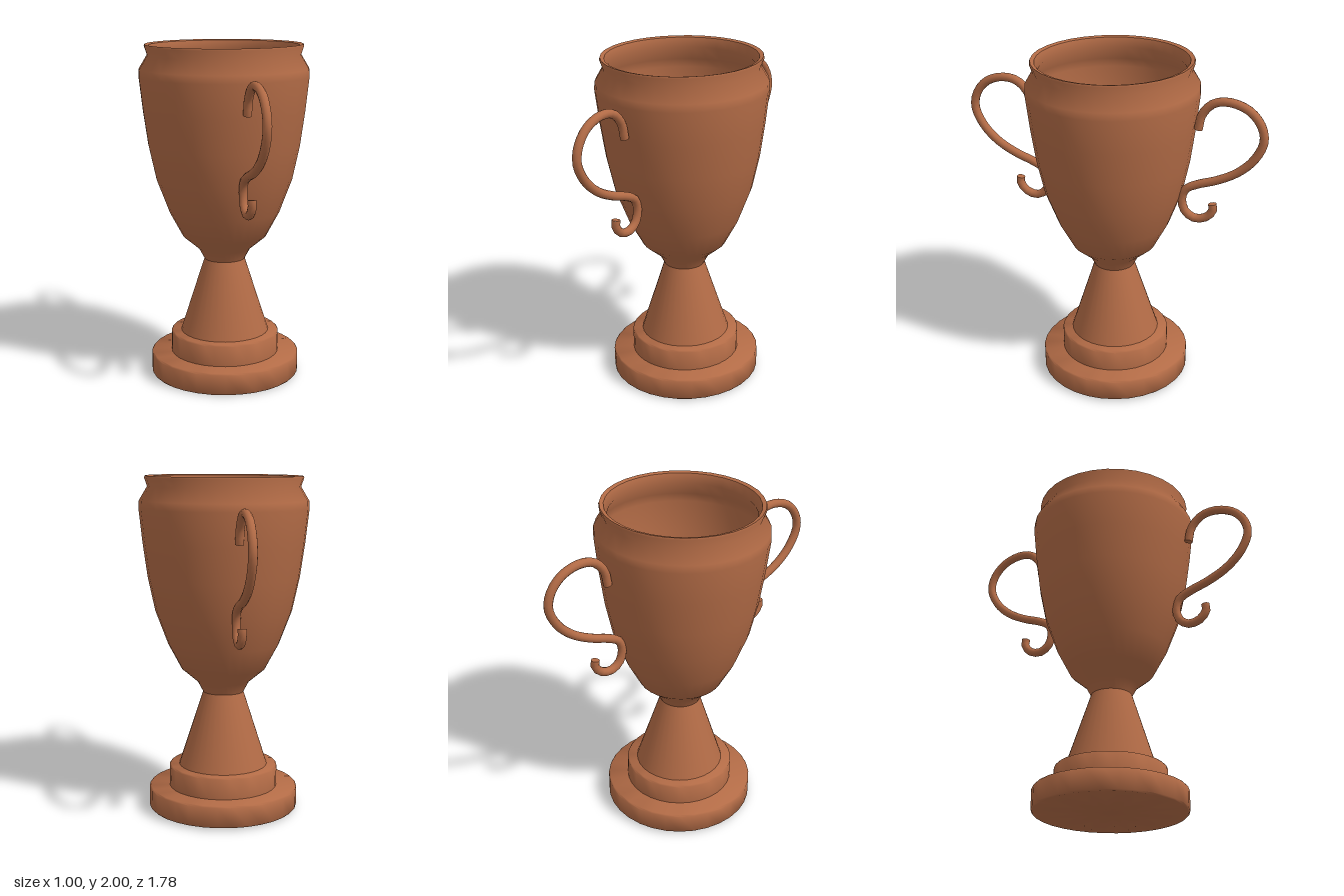
import * as THREE from 'three';
import { toCreasedNormals } from 'three/addons/utils/BufferGeometryUtils.js';

const material = new THREE.MeshStandardMaterial({ color: 0xb26b46 });
const SIDES = 32;

function addMesh(parent, name, geometry) {
  const mesh = new THREE.Mesh(geometry, material);
  mesh.name = name;
  parent.add(mesh);
  return mesh;
}

// Turned part from [radius, height] pairs, keeping sharp edges
function turned(profile, crease = 0.7) {
  const points = profile.map(([r, y]) => new THREE.Vector2(r, y));
  return toCreasedNormals(new THREE.LatheGeometry(points, SIDES), crease);
}

// S-shaped handle in the x-y plane, with closed ends
function createHandle(name) {
  const handle = new THREE.Group();
  handle.name = name;
  const path = new THREE.CatmullRomCurve3([
    [0.505, 1.63], [0.525, 1.72], [0.59, 1.79], [0.68, 1.806], [0.79, 1.77],
    [0.86, 1.69], [0.878, 1.6], [0.83, 1.49], [0.74, 1.4], [0.62, 1.335],
    [0.51, 1.295], [0.44, 1.255], [0.418, 1.19], [0.44, 1.115], [0.5, 1.08],
    [0.57, 1.1], [0.605, 1.15], [0.6, 1.185],
  ].map(([x, y]) => new THREE.Vector3(x, y, 0)));
  const radius = 0.025;
  addMesh(handle, 'handleTube', new THREE.TubeGeometry(path, 44, radius, 12));
  for (const t of [0, 1]) {
    const cap = addMesh(handle, 'handleEnd', new THREE.CircleGeometry(radius, 12));
    const end = path.getPoint(t);
    const outward = path.getTangent(t).multiplyScalar(t ? 1 : -1);
    cap.position.copy(end);
    cap.quaternion.setFromUnitVectors(new THREE.Vector3(0, 0, 1), outward);
  }
  return handle;
}

export function createModel() {
  const trophy = new THREE.Group();
  trophy.name = 'trophyCup';

  // Two-step plinth
  addMesh(trophy, 'baseLower', turned([
    [0, 0], [0.44, 0], [0.447, 0.008], [0.447, 0.122], [0.44, 0.13], [0, 0.13],
  ], 0.9));
  addMesh(trophy, 'baseUpper', turned([
    [0, 0.13], [0.325, 0.13], [0.325, 0.252], [0.318, 0.26], [0, 0.26],
  ], 0.9));

  // Conical stem
  addMesh(trophy, 'stem', turned([[0.265, 0.26], [0.12, 0.71], [0, 0.71]]));

  // Bowl shell: outside up to the flared lip, then down the inside
  addMesh(trophy, 'bowl', turned([
    [0, 0.705], [0.12, 0.705], [0.155, 0.77], [0.25, 0.85], [0.33, 1.0],
    [0.405, 1.2], [0.448, 1.4], [0.476, 1.6], [0.498, 1.8], [0.495, 1.845],
    [0.447, 1.925], [0.464, 1.975], [0.46, 1.986], [0.437, 1.98], [0.417, 1.925],
    [0.465, 1.84], [0.472, 1.79], [0.45, 1.6], [0.422, 1.4], [0.379, 1.2],
    [0.305, 1.0], [0.228, 0.87], [0.13, 0.78], [0.115, 0.725], [0, 0.725],
  ], 0.95));

  // Opposite handles, turned slightly off the front-back axis
  const angle = Math.atan2(-0.88, -0.138);
  ['frontHandle', 'backHandle'].forEach((name, i) => {
    const handle = createHandle(name);
    handle.rotation.y = angle + i * Math.PI;
    trophy.add(handle);
  });

  // Slight lean of the whole cup
  trophy.rotation.set(0.012, 0, 0.008);
  trophy.position.set(0.014, 0.007, -0.019);

  const model = new THREE.Group();
  model.name = 'trophy';
  model.add(trophy);
  return model;
}
